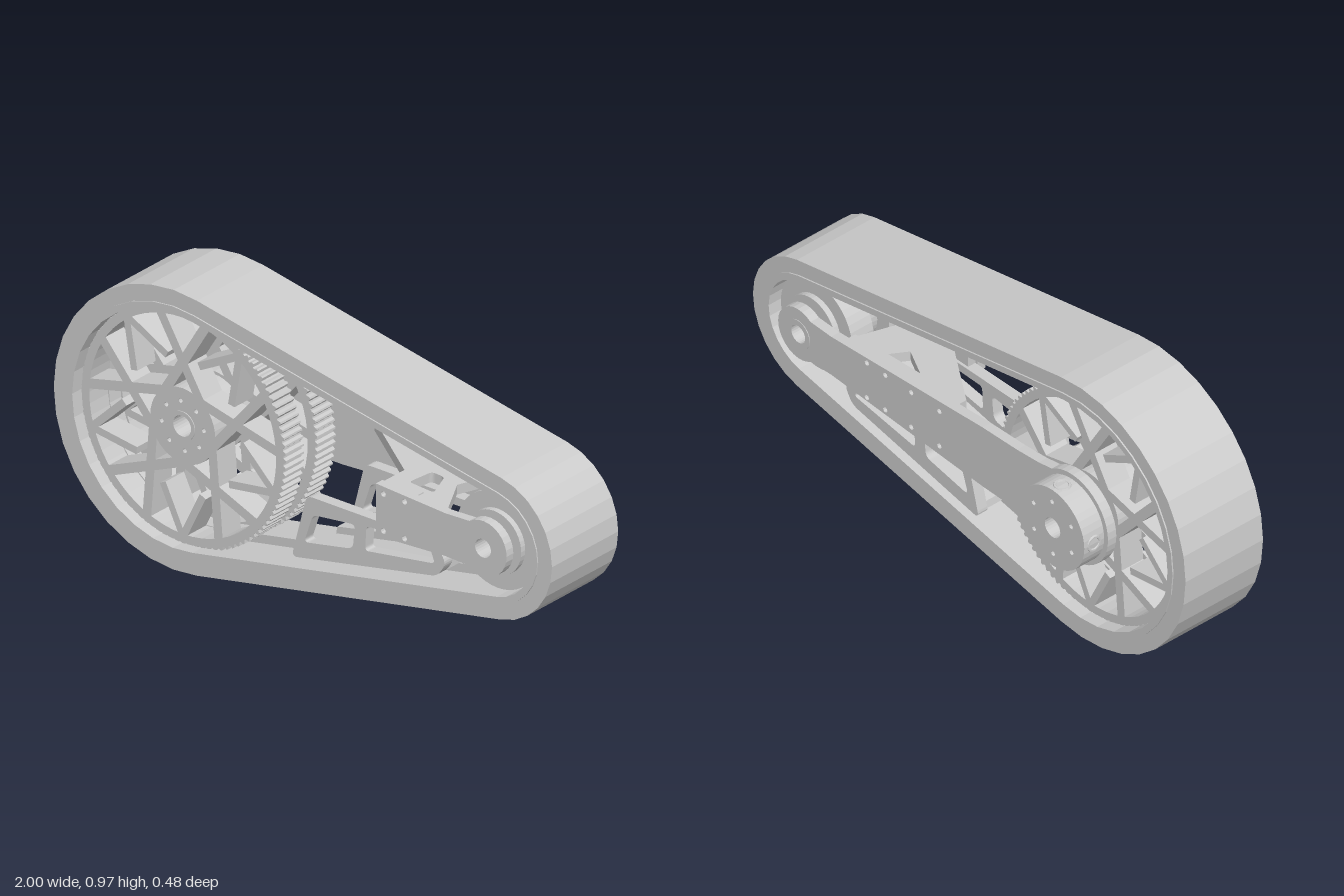
import * as THREE from 'three';

const material = new THREE.MeshStandardMaterial({ color: 0xcccccc, flatShading: true, side: THREE.DoubleSide });
const CY = 0.49, BIG = -0.515, SMALL = 0.75;
const rad = THREE.MathUtils.degToRad;

// Points along an arc, angles in degrees
function arc(cx, cy, r, a0, a1, n) {
  return Array.from({ length: n + 1 }, (_, i) => {
    const a = rad(a0 + (a1 - a0) * i / n);
    return new THREE.Vector2(cx + r * Math.cos(a), cy + r * Math.sin(a));
  });
}
const pts = list => list.map(([x, y]) => new THREE.Vector2(x, y));
const circle = (x, y, r, n = 24) => new THREE.Path(arc(x, y, r, 0, 360, n).slice(0, -1));

// Extrudes an outline with holes from z0 to z1
function slab(parent, name, outline, holes, z0, z1) {
  const shape = new THREE.Shape(outline);
  shape.holes = holes;
  const geo = new THREE.ExtrudeGeometry(shape, { depth: z1 - z0, bevelEnabled: false, curveSegments: 8 });
  const mesh = new THREE.Mesh(geo.translate(0, 0, z0), material);
  mesh.name = name;
  parent.add(mesh);
  return mesh;
}
function ring(parent, name, x, y, r, hole, z0, z1, n = 40) {
  return slab(parent, name, arc(x, y, r, 0, 360, n).slice(0, -1), hole ? [circle(x, y, hole)] : [], z0, z1);
}

// Polygon with rounded corners
function rounded(list, r) {
  const p = pts(list), n = p.length, path = new THREE.Path();
  p.forEach((c, i) => {
    const toward = q => c.clone().add(q.clone().sub(c).setLength(r));
    const a = toward(p[(i + n - 1) % n]), b = toward(p[(i + 1) % n]);
    i ? path.lineTo(a.x, a.y) : path.moveTo(a.x, a.y);
    path.quadraticCurveTo(c.x, c.y, b.x, b.y);
  });
  path.closePath();
  return path;
}

// Belt outline around both wheels, inset from the outer face
function loop(inset) {
  const R = 0.485 - inset, r = 0.25 - inset;
  const t = THREE.MathUtils.radToDeg(Math.acos((R - r) / (SMALL - BIG)));
  return [...arc(BIG, CY, R, t, 360 - t, 18), ...arc(SMALL, CY, r, -t, t, 12)];
}

function addBelt(g) {
  const belt = new THREE.Group();
  belt.name = 'belt';
  const band = (name, a, b, z0, z1) => slab(belt, name, loop(a), [new THREE.Path(loop(b))], z0, z1);
  band('beltBand', 0, 0.074, -0.12, 0.205);
  band('beltLip', 0.055, 0.078, -0.125, 0.21);
  band('beltGuide', 0.07, 0.108, 0.015, 0.07);
  g.add(belt);
}

// Toothed wheel with crossing struts
function addWheel(g, name, z0, z1) {
  const wheel = new THREE.Group();
  wheel.name = name;
  const teeth = 100, outline = [];
  for (let i = 0; i < teeth * 4; i++) {
    const a = i / (teeth * 4) * Math.PI * 2, r = i % 4 < 2 ? 0.414 : 0.404;
    outline.push(new THREE.Vector2(r * Math.cos(a), r * Math.sin(a)));
  }
  slab(wheel, 'toothedRim', outline, [circle(0, 0, 0.375, 60)], z0, z1);
  const bolts = [];
  for (let i = 0; i < 8; i++) {
    const a = i * Math.PI / 4 + 0.1;
    bolts.push(circle(0.085 * Math.cos(a), 0.085 * Math.sin(a), 0.008, 8));
  }
  slab(wheel, 'hubDisc', arc(0, 0, 0.13, 0, 360, 40).slice(0, -1), [circle(0, 0, 0.036), ...bolts], z0, z1);
  const w = 0.017;
  for (let i = 0; i < 5; i++) for (const s of [1, -1]) {
    const a = rad(90 + i * 72 + s * 14), b = a - s * rad(68);
    const p = new THREE.Vector2(0.385 * Math.cos(a), 0.385 * Math.sin(a));
    const q = new THREE.Vector2(0.115 * Math.cos(b), 0.115 * Math.sin(b));
    const d = q.clone().sub(p).setLength(w), n = new THREE.Vector2(-d.y, d.x);
    slab(wheel, 'strut', [p.clone().add(n), p.clone().sub(n), q.clone().sub(n), q.clone().add(n)], [], z0, z1);
    // Short outer braces forming the small rim triangles
    const c = rad(90 + i * 72 + s * 36), e = rad(90 + i * 72 + s * 16);
    const u = new THREE.Vector2(0.385 * Math.cos(c), 0.385 * Math.sin(c));
    const v = new THREE.Vector2(0.235 * Math.cos(e), 0.235 * Math.sin(e));
    const f = u.clone().sub(v).setLength(0.013), m = new THREE.Vector2(-f.y, f.x);
    slab(wheel, 'brace', [u.clone().add(m), u.clone().sub(m), v.clone().sub(m), v.clone().add(m)], [], z0, z1);
  }
  wheel.position.set(BIG, CY, 0);
  g.add(wheel);
}

// Mirrors the upper half of an outline below the axle line
function mirrored(top) {
  return [...top, ...top.slice(1, -1).reverse().map(p => new THREE.Vector2(p.x, 2 * CY - p.y))];
}

function addArms(g) {
  const bolt = (x, y) => circle(x, y, 0.01, 10);
  const tip = arc(SMALL, CY, 0.095, 125, 0, 10);
  const back = mirrored([
    ...arc(BIG, CY, 0.165, 180, 55, 14),
    ...pts([[-0.36, 0.615], [-0.26, 0.608], [-0.1, 0.605], [0.6, 0.564], [0.65, 0.566]]), ...tip]);
  const holes = [circle(BIG, CY, 0.036), circle(SMALL, CY, 0.032)];
  for (const x of [0.1, 0.23, 0.35, 0.435]) holes.push(bolt(x, 0.555), bolt(x, 0.42));
  slab(g, 'backArm', back, holes, -0.155, -0.12);

  const front = mirrored([...pts([[0.32, CY], [0.32, 0.58], [0.6, 0.564], [0.65, 0.566]]), ...tip]);
  const frontHoles = [circle(SMALL, CY, 0.032)];
  for (const x of [0.35, 0.435]) frontHoles.push(bolt(x, 0.553), bolt(x, 0.425));
  slab(g, 'frontArm', front, frontHoles, 0.205, 0.238);
}

function addMotor(g) {
  const bolts = [circle(BIG, CY, 0.036)];
  for (let i = 0; i < 6; i++) {
    const a = i * Math.PI / 3 + 0.5;
    bolts.push(circle(BIG + 0.1 * Math.cos(a), CY + 0.1 * Math.sin(a), 0.009, 8));
  }
  slab(g, 'driveHub', arc(BIG, CY, 0.147, 0, 360, 40).slice(0, -1), bolts, -0.238, -0.155);
  // Set-screw sockets around the hub
  for (let i = 0; i < 4; i++) {
    const screw = new THREE.Mesh(new THREE.TorusGeometry(0.024, 0.006, 6, 16).rotateX(Math.PI / 2), material);
    screw.name = 'setScrew';
    screw.position.set(0, 0.144, 0);
    const turn = new THREE.Group();
    turn.add(screw);
    turn.position.set(BIG, CY, -0.197);
    turn.rotation.z = i * Math.PI / 2;
    g.add(turn);
  }
}

// Windowed skid plates, joined by a bottom rail
function addSkid(g) {
  const outline = rounded([[-0.045, 0.2], [0.54, 0.315], [0.575, 0.37], [0.53, 0.43], [0.015, 0.43]], 0.025).getPoints(5);
  const windows = () => [
    rounded([[0.005, 0.265], [0.2, 0.303], [0.21, 0.39], [0.04, 0.37]], 0.02),
    rounded([[0.25, 0.312], [0.53, 0.355], [0.51, 0.405], [0.255, 0.4]], 0.015)];
  slab(g, 'frontSkidPlate', outline, windows(), 0.165, 0.205);
  slab(g, 'backSkidPlate', outline, windows(), -0.12, -0.08);
  slab(g, 'skidRail', pts([[-0.03, 0.208], [0.54, 0.32], [0.54, 0.345], [-0.025, 0.233]]), [], 0.08, 0.165);
  slab(g, 'skidRail', pts([[-0.03, 0.208], [0.54, 0.32], [0.54, 0.345], [-0.025, 0.233]]), [], -0.08, 0.005);
}

// Cross brace between the two arms, drawn in plan (x, -z)
function addCrossBrace(g) {
  const brace = slab(g, 'crossBrace',
    pts([[0.05, 0.12], [0.05, 0.085], [0.32, -0.1], [0.32, -0.205], [0.58, -0.205], [0.5, -0.06], [0.56, 0.12], [0.43, 0.12], [0.37, 0.03], [0.2, 0.12]]),
    [rounded([[0.38, -0.15], [0.48, -0.15], [0.44, -0.05], [0.39, -0.05]], 0.015)], 0, 0.035);
  brace.rotation.set(-Math.PI / 2, 0.058, 0, 'ZYX');
  brace.rotation.set(-Math.PI / 2, 0, 0);
  const tilt = new THREE.Group();
  tilt.name = 'crossBraceMount';
  tilt.add(brace);
  tilt.position.set(0, 0.558, 0);
  tilt.rotation.z = -0.058;
  g.add(tilt);
  // Flanges bolted against the arms
  slab(g, 'backFlange', pts([[0.05, 0.592], [0.05, 0.545], [0.56, 0.52], [0.56, 0.563]]), [], -0.12, -0.09);
  slab(g, 'frontFlange', pts([[0.33, 0.575], [0.33, 0.41], [0.46, 0.415], [0.46, 0.57]]), [], 0.175, 0.205);
}

export function createModel() {
  const g = new THREE.Group();
  g.name = 'trackDrive';
  addBelt(g);
  addWheel(g, 'frontWheel', 0.075, 0.165);
  addWheel(g, 'backWheel', -0.08, 0.01);
  ring(g, 'wheelSpacer', BIG, CY, 0.12, 0.07, 0.01, 0.075);
  ring(g, 'driveAxle', BIG, CY, 0.05, 0.036, -0.16, 0.168);

  // Idler rollers either side of the belt guide
  ring(g, 'frontRoller', SMALL, CY, 0.165, 0.05, 0.075, 0.165);
  ring(g, 'backRoller', SMALL, CY, 0.165, 0.05, -0.08, 0.01);
  ring(g, 'rollerCore', SMALL, CY, 0.11, 0.05, -0.1, 0.185);
  ring(g, 'idlerAxle', SMALL, CY, 0.052, 0.032, -0.157, 0.236);

  addArms(g);
  addMotor(g);
  addSkid(g);
  addCrossBrace(g);
  return g;
}
